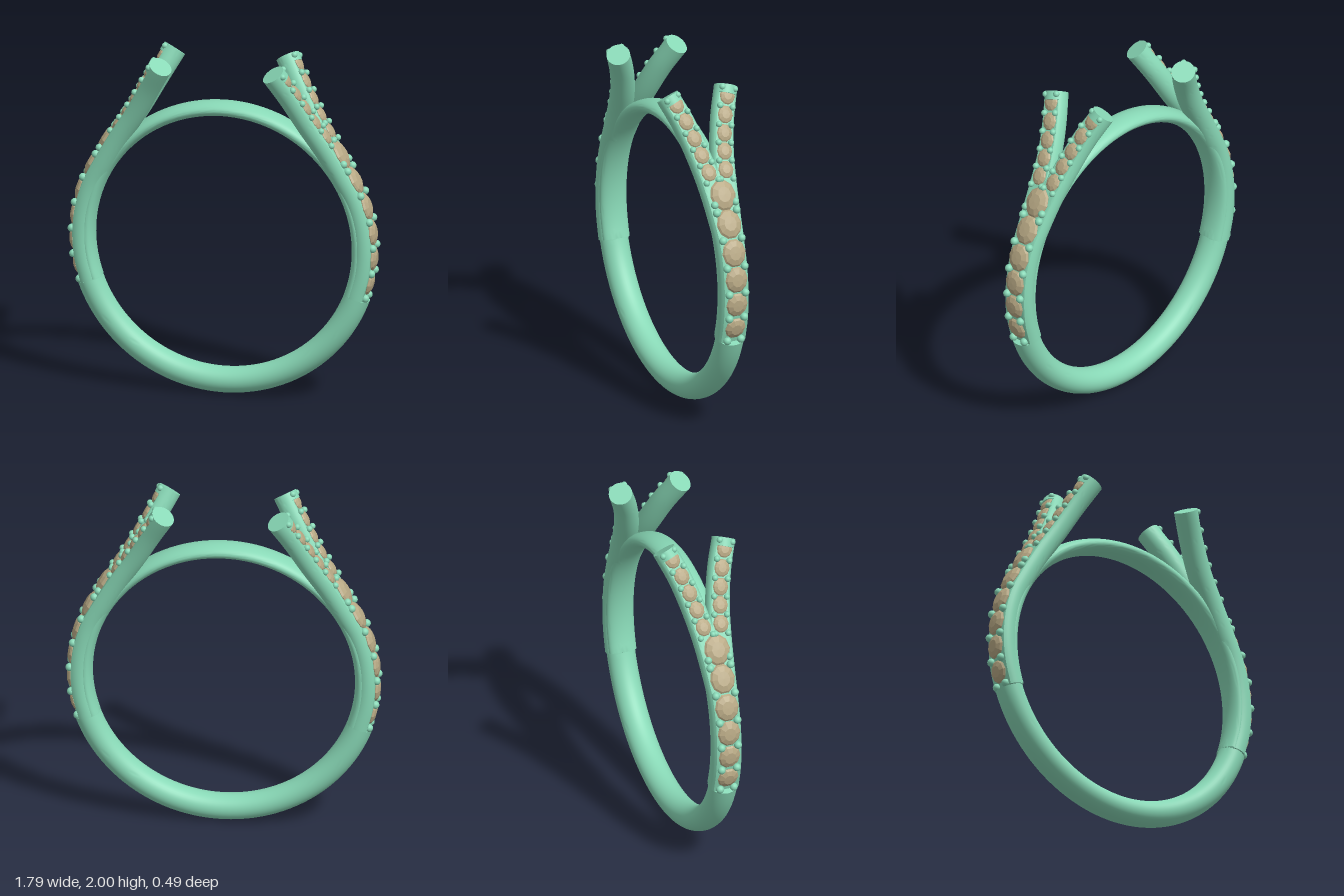
import * as THREE from 'three';
import { toCreasedNormals } from 'three/addons/utils/BufferGeometryUtils.js';

const metal = new THREE.MeshStandardMaterial({ color: 0x88d8b6 });
const stone = new THREE.MeshStandardMaterial({ color: 0xb8a985, flatShading: true });
const CY = 0.895;          // height of the ring centre
const INNER = 0.745;       // finger radius
const SEAT = 0.045;        // height of the flat stone seat above the arm's centre line
const START = -0.338;      // angle where the stone seat begins
const SIDES = 40;

// Oval section, cut flat on the outward side at height "cut"
function oval(n, b, cut = 1) {
  return Array.from({ length: SIDES }, (_, j) => {
    const a = (j / SIDES) * Math.PI * 2;
    return [Math.min(cut, n * Math.cos(a)), b * Math.sin(a)];
  });
}

// Skin a list of rows { p, N, B, section }
function sweep(rows, capped) {
  const pos = [], index = [];
  for (const { p, N, B, section } of rows)
    for (const [n, b] of section) {
      const v = p.clone().addScaledVector(N, n).addScaledVector(B, b);
      pos.push(v.x, v.y, v.z);
    }
  const last = rows.length - 1;
  for (let i = 0; i < last; i++)
    for (let j = 0; j < SIDES; j++) {
      const k = (j + 1) % SIDES, r = i * SIDES, s = r + SIDES;
      index.push(r + j, r + k, s + j, r + k, s + k, s + j);
    }
  if (capped) {
    const c = pos.length / 3, e = last * SIDES;
    for (const row of [rows[0], rows[last]]) pos.push(row.p.x, row.p.y, row.p.z);
    for (let j = 0; j < SIDES; j++) {
      const k = (j + 1) % SIDES;
      index.push(c, k, j, c + 1, e + j, e + k);
    }
  }
  const g = new THREE.BufferGeometry();
  g.setAttribute('position', new THREE.Float32BufferAttribute(pos, 3));
  g.setIndex(index);
  return toCreasedNormals(g, 0.5);
}

// Band: thick below the stones, thin across the top
function bandGeometry() {
  const rows = [];
  const add = (a, thick) => {
    const N = new THREE.Vector3(Math.cos(a), Math.sin(a), 0);
    const p = N.clone().multiplyScalar(INNER + thick / 2);
    p.y += CY;
    rows.push({ p, N, B: new THREE.Vector3(0, 0, -1), section: oval(thick / 2, 0.082) });
  };
  const arc = (from, to, steps, thick) => {
    for (let i = 0; i <= steps; i++) add(from + ((to - from) * i) / steps, thick);
  };
  arc(START, Math.PI - START, 70, 0.085);
  arc(Math.PI - START + 0.001, Math.PI * 2 + START - 0.001, 50, 0.15);
  rows.push(rows[0]);
  return sweep(rows, false);
}

// Centre line of an arm; side = 1 front, -1 back, 0 middle
function armPath(side) {
  const pts = [[START, 0.012], [-0.17, 0.012], [0, 0.012], [0.2, 0.012], [0.385, 0.015], [0.56, 0.025]]
    .map(([a, z]) => [0.82 * Math.cos(a), CY + 0.82 * Math.sin(a), z]);
  pts.push([0.597, 1.5, 0.045], [0.502, 1.65, 0.074], [0.412, 1.81, 0.12], [0.327, 1.958, 0.182]);
  return new THREE.CatmullRomCurve3(pts.map(([x, y, z]) => new THREE.Vector3(x, y, z * side)));
}

function frameAt(path, u) {
  const p = path.getPointAt(u), T = path.getTangentAt(u);
  const N = new THREE.Vector3(T.y, -T.x, 0).normalize();
  return { p, T, N, B: T.clone().cross(N).normalize() };
}

// Frame where the path reaches height y
function frameAtHeight(path, y) {
  let lo = 0, hi = 1;
  for (let i = 0; i < 24; i++) {
    const mid = (lo + hi) / 2;
    if (path.getPointAt(mid).y < y) lo = mid; else hi = mid;
  }
  return frameAt(path, lo);
}

function armGeometry(path) {
  const rows = [], tip = 0.965;
  const add = (u, cut) => {
    const n = 0.073 - 0.005 * u, b = 0.078 - 0.011 * u;
    rows.push({ ...frameAt(path, u), section: oval(n, b, cut) });
  };
  for (let i = 0; i <= 70; i++) add((tip * i) / 70, SEAT);
  // full round tip
  for (const u of [tip + 0.001, 0.985, 1]) add(u, 1);
  return sweep(rows, true);
}

const gemGeometry = new THREE.LatheGeometry(
  [[0, -0.4], [0.9, -0.2], [1, 0.05], [0.88, 0.2], [0.5, 0.38], [0, 0.4]].map(([x, y]) => new THREE.Vector2(x, y)), 10);
const beadGeometry = new THREE.SphereGeometry(1, 14, 10);

function addGem(group, path, y, width, length) {
  const { p, T, N, B } = frameAtHeight(path, y);
  const gem = new THREE.Mesh(gemGeometry, stone);
  gem.name = 'gem';
  gem.position.copy(p).addScaledVector(N, SEAT);
  gem.quaternion.setFromRotationMatrix(new THREE.Matrix4().makeBasis(T, N, B));
  gem.scale.set(length, width, width);
  group.add(gem);
}

function addBeads(group, path, y, spread, radius) {
  const { p, N, B } = frameAtHeight(path, y);
  for (const s of [-1, 1]) {
    const bead = new THREE.Mesh(beadGeometry, metal);
    bead.name = 'bead';
    bead.position.copy(p).addScaledVector(N, SEAT + 0.008).addScaledVector(B, s * spread);
    bead.scale.setScalar(radius);
    group.add(bead);
  }
}

// One shoulder: two arms with a shared row of stones that forks in two
function createShoulder(name) {
  const shoulder = new THREE.Group();
  shoulder.name = name;
  const middle = armPath(0);
  [0.715, 0.857, 1.0, 1.143, 1.287, 1.432].forEach((y, i) =>
    addGem(shoulder, middle, y, 0.063 + 0.003 * i, 0.068 + 0.0045 * i));
  [0.638, 0.78, 0.922, 1.068, 1.212, 1.35].forEach((y, i) =>
    addBeads(shoulder, middle, y, 0.042 + 0.004 * i, 0.023));
  addBeads(shoulder, middle, 1.39, 0.064, 0.022);
  for (const side of [1, -1]) {
    const path = armPath(side);
    const arm = new THREE.Mesh(armGeometry(path), metal);
    arm.name = side > 0 ? 'frontArm' : 'backArm';
    shoulder.add(arm);
    for (let i = 0; i < 5; i++) addGem(shoulder, path, 1.55 + 0.089 * i, 0.046, 0.052);
    for (let i = 0; i < 6; i++) addBeads(shoulder, path, 1.505 + 0.0875 * i, 0.038, 0.018);
  }
  return shoulder;
}

export function createModel() {
  const model = new THREE.Group();
  model.name = 'ring';
  const band = new THREE.Mesh(bandGeometry(), metal);
  band.name = 'band';
  const left = createShoulder('leftShoulder');
  const right = createShoulder('rightShoulder');
  right.rotation.y = Math.PI;
  model.add(band, left, right);
  return model;
}
